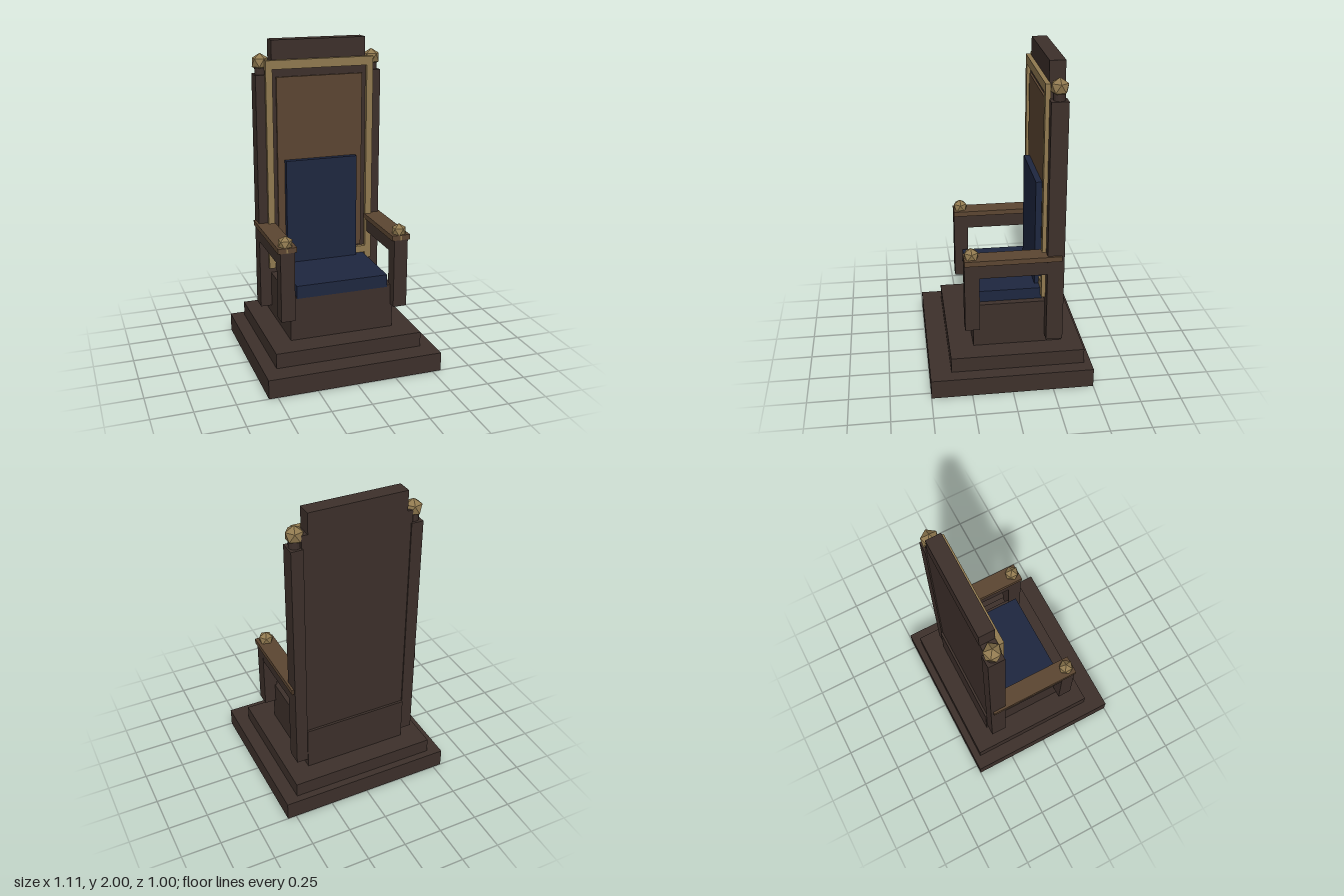
import * as THREE from 'three';

const mat = (color) => new THREE.MeshStandardMaterial({ color, flatShading: true });

export function createModel() {
  const group = new THREE.Group();
  const dark = mat(0x3d302b), brown = mat(0x5c4632), gold = mat(0x917a50), blue = mat(0x1e2740);

  // Box given by its extents along each axis
  const box = (name, material, [x0, x1], [y0, y1], [z0, z1]) => {
    const mesh = new THREE.Mesh(new THREE.BoxGeometry(x1 - x0, y1 - y0, z1 - z0), material);
    mesh.position.set((x0 + x1) / 2, (y0 + y1) / 2, (z0 + z1) / 2);
    mesh.name = name;
    group.add(mesh);
  };
  const wide = (h) => [-h, h];
  const sided = (s, a, b) => (s > 0 ? [a, b] : [-b, -a]);

  // Faceted knob standing on a point, with a short round neck
  const finial = (name, x, y, z, r, neckR, neckBottom, neckMat) => {
    const knobGeo = new THREE.IcosahedronGeometry(r, 0);
    knobGeo.rotateZ(-Math.atan(2 / (1 + Math.sqrt(5))));
    const knob = new THREE.Mesh(knobGeo, gold);
    knob.position.set(x, y, z);
    knob.name = name;
    const h = y - r * 0.4 - neckBottom;
    const neck = new THREE.Mesh(new THREE.CylinderGeometry(neckR, neckR, h, 16), neckMat);
    neck.position.set(x, neckBottom + h / 2, z);
    neck.name = name + 'Neck';
    group.add(knob, neck);
  };

  // Stepped plinth and seat
  box('plinth', dark, wide(0.555), [0, 0.12], wide(0.5));
  box('step', dark, wide(0.47), [0.12, 0.215], [-0.455, 0.37]);
  box('seatBlock', dark, wide(0.335), [0.215, 0.5], [-0.333, 0.22]);
  box('seatCushion', blue, wide(0.295), [0.49, 0.572], [-0.215, 0.226]);

  // Backrest, crest and padding
  box('backPanel', dark, wide(0.342), [0.45, 1.87], [-0.318, -0.225]);
  box('crest', dark, wide(0.305), [1.87, 2], [-0.322, -0.228]);
  box('backInlay', brown, wide(0.28), [0.63, 1.775], [-0.23, -0.212]);
  box('backCushion', blue, wide(0.235), [0.56, 1.25], [-0.222, -0.175]);
  box('frameTop', gold, wide(0.35), [1.825, 1.88], [-0.23, -0.2]);
  box('frameBottom', gold, wide(0.312), [0.575, 0.62], [-0.23, -0.2]);

  for (const s of [1, -1]) {
    const side = s > 0 ? 'left' : 'right';
    // Back post and frame side
    box(side + 'FrameSide', gold, sided(s, 0.308, 0.35), [0.535, 1.825], [-0.23, -0.2]);
    box(side + 'BackPost', dark, sided(s, 0.333, 0.408), [0.268, 1.79], [-0.326, -0.224]);
    finial(side + 'BackFinial', s * 0.365, 1.863, -0.277, 0.057, 0.035, 1.785, dark);
    // Armrest
    box(side + 'ArmPost', dark, sided(s, 0.32, 0.408), [0.37, 0.81], [0.185, 0.275]);
    box(side + 'ArmRail', dark, sided(s, 0.32, 0.407), [0.72, 0.81], [-0.23, 0.185]);
    box(side + 'ArmTop', brown, sided(s, 0.305, 0.422), [0.81, 0.842], [-0.31, 0.275]);
    finial(side + 'ArmFinial', s * 0.365, 0.857, 0.23, 0.049, 0.046, 0.81, gold);
  }
  return group;
}
